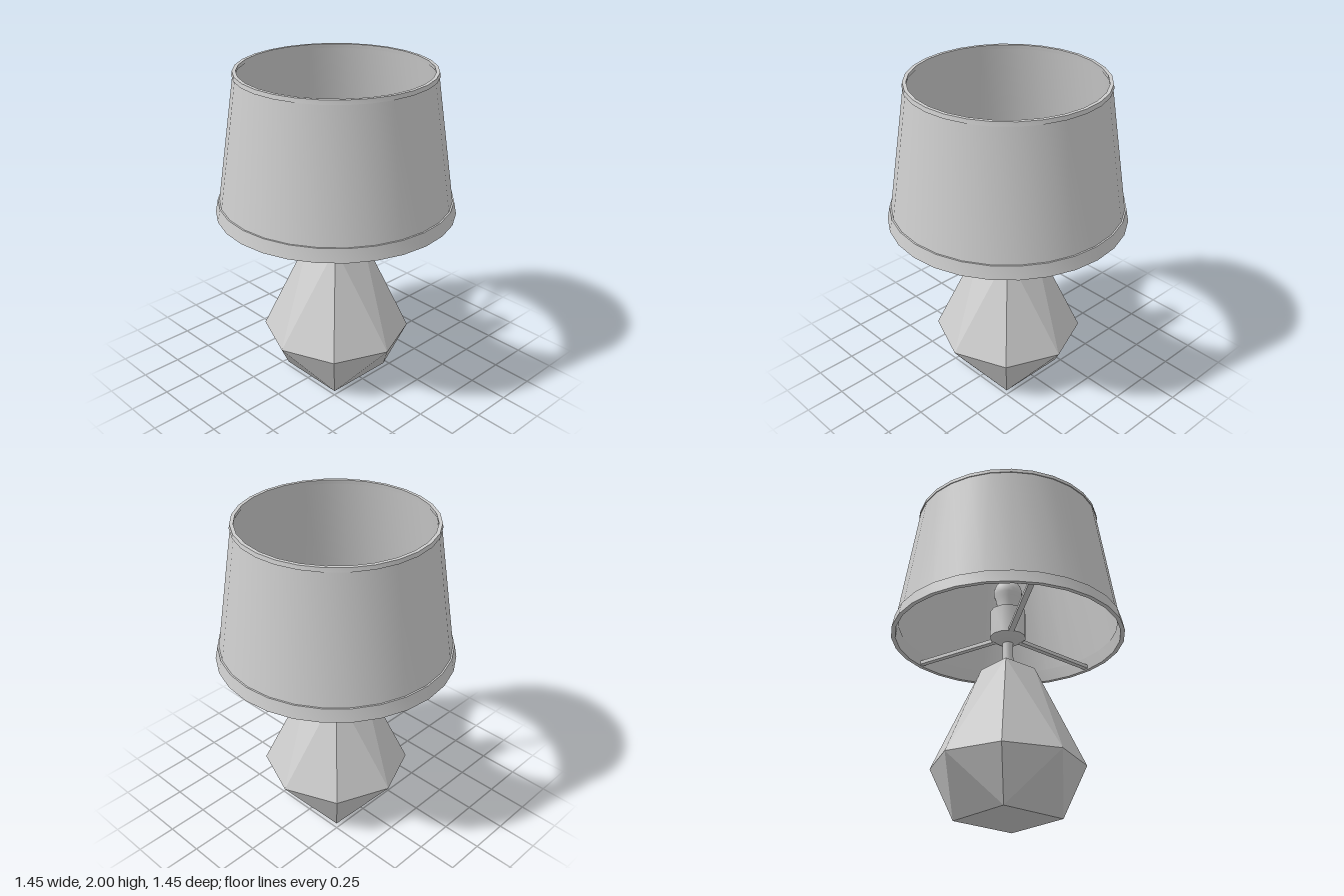
import * as THREE from 'three';
import { toCreasedNormals } from 'three/addons/utils/BufferGeometryUtils.js';

const material = new THREE.MeshStandardMaterial({ color: 0xcccccc });
const facetMaterial = new THREE.MeshStandardMaterial({ color: 0xcccccc, flatShading: true });

function part(name, geometry, mat = material) {
  const mesh = new THREE.Mesh(geometry, mat);
  mesh.name = name;
  return mesh;
}

// Turned part from [radius, height] points, with sharp corners kept
function turned(name, points, sides, crease = 0.6) {
  const profile = points.map(([r, y]) => new THREE.Vector2(r, y));
  return part(name, toCreasedNormals(new THREE.LatheGeometry(profile, sides), crease));
}

// Thin conical wall: closed section between two [radius, height] ends
function wall(name, [r0, y0], [r1, y1], thickness) {
  return turned(name, [
    [r0, y0], [r1, y1], [r1 - thickness, y1], [r0 - thickness, y0], [r0, y0],
  ], 28);
}

// Faceted body: square foot, octagonal waist, square top
function facetedBase() {
  const at = (r, degrees, y) => {
    const a = THREE.MathUtils.degToRad(degrees);
    return new THREE.Vector3(r * Math.sin(a), y, r * Math.cos(a));
  };
  const corners = [];
  for (let a = 0; a < 360; a += 90) {
    const [left, mid, right] = [-45, 0, 45].map((d) => at(0.46, a + d, 0.31));
    const [topL, topR] = [-45, 45].map((d) => at(0.163, a + d, 0.94));
    const [footL, footR] = [-45, 45].map((d) => at(0.315, a + d, 0));
    corners.push(
      mid, right, topR, mid, topR, topL, left, mid, topL,
      footL, footR, mid, footR, right, mid, footL, mid, left,
      at(0, 0, 0.94), topL, topR, at(0, 0, 0), footR, footL,
    );
  }
  const geometry = new THREE.BufferGeometry().setFromPoints(corners);
  geometry.computeVertexNormals();
  return part('base', geometry, facetMaterial);
}

export function createModel() {
  const lamp = new THREE.Group();
  lamp.name = 'tableLamp';
  lamp.add(facetedBase());

  // Collar and stem
  lamp.add(turned('collar', [[0, 0.935], [0.055, 0.935], [0.055, 0.965], [0, 0.965]], 16));
  lamp.add(turned('stem', [[0, 0.95], [0.033, 0.95], [0.033, 1.13], [0, 1.13]], 16));

  // Bulb holder with bevelled underside
  lamp.add(turned('socket', [
    [0, 1.11], [0.05, 1.11], [0.112, 1.15], [0.112, 1.33], [0.1, 1.335], [0, 1.335],
  ], 12));

  // Bulb: flared neck and round head
  const bulb = [[0.06, 1.32], [0.06, 1.355], [0.075, 1.4]];
  for (let i = 0; i <= 8; i++) {
    const a = THREE.MathUtils.lerp(-0.5, Math.PI / 2, i / 8);
    bulb.push([Math.max(0, 0.09 * Math.cos(a)), 1.465 + 0.09 * Math.sin(a)]);
  }
  lamp.add(turned('bulb', bulb, 20, 0.9));

  // Three arms carrying the shade
  for (const degrees of [0, 105, 240]) {
    const arm = new THREE.BoxGeometry(0.034, 0.024, 0.6);
    arm.translate(0, 1.156, 0.39);
    arm.rotateY(THREE.MathUtils.degToRad(degrees));
    lamp.add(part('shadeArm', arm));
  }

  // Shade with trim at both rims
  const shade = new THREE.Group();
  shade.name = 'shade';
  shade.add(wall('shadeWall', [0.71, 1.15], [0.582, 1.99], 0.012));
  shade.add(wall('lowerTrim', [0.725, 1.14], [0.709, 1.22], 0.026));
  shade.add(wall('upperTrim', [0.59, 1.975], [0.586, 2], 0.021));
  lamp.add(shade);

  return lamp;
}
